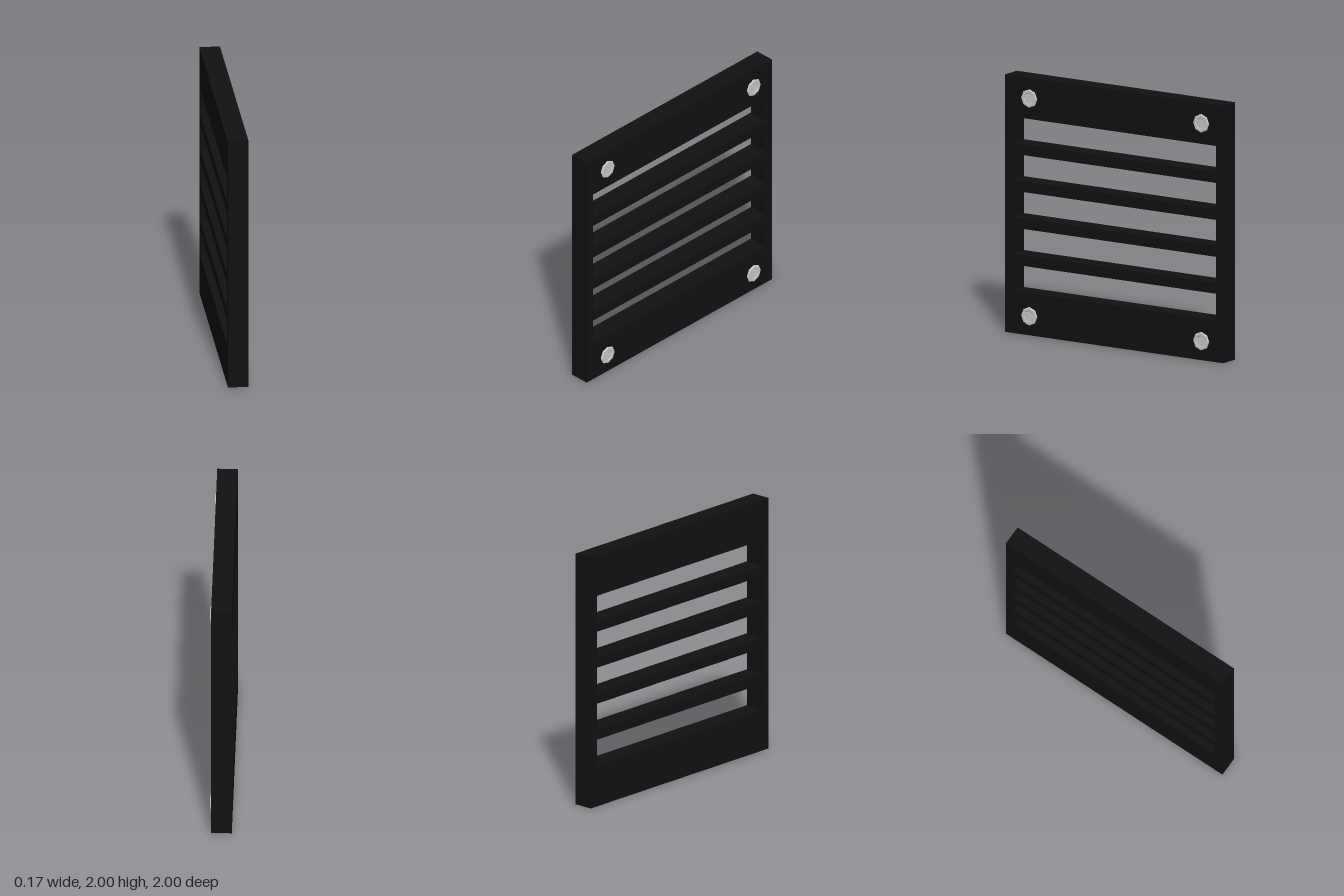
import * as THREE from 'three';

const rect = (path, w, y0, y1) => {
  path.moveTo(-w, y0);
  path.lineTo(w, y0);
  path.lineTo(w, y1);
  path.lineTo(-w, y1);
  path.closePath();
  return path;
};

export function createModel() {
  const group = new THREE.Group();
  const black = new THREE.MeshStandardMaterial({ color: 0x111111, flatShading: true });
  const grey = new THREE.MeshStandardMaterial({ color: 0xcccccc, flatShading: true });

  // Square plate with five horizontal slots, leaving four slats between them
  const back = -0.085, front = 0.072;
  const outline = rect(new THREE.Shape(), 1, 0, 2);
  for (let i = 0; i < 5; i++) {
    const y = 0.328 + i * 0.287;
    outline.holes.push(rect(new THREE.Path(), 0.932, y, y + 0.204));
  }
  const plateGeometry = new THREE.ExtrudeGeometry(outline, { depth: front - back, bevelEnabled: false });
  plateGeometry.rotateY(Math.PI / 2).translate(back, 0, 0);
  const plate = new THREE.Mesh(plateGeometry, black);
  plate.name = 'slottedPlate';
  group.add(plate);

  // Eight-sided screw heads with a shallow ring step, facing +x
  const profile = [[0.072, -0.01], [0.072, 0.007], [0.066, 0.011], [0.046, 0.011], [0.042, 0.008], [0, 0.008]];
  const screwGeometry = new THREE.LatheGeometry(profile.map(([r, h]) => new THREE.Vector2(r, h)), 8);
  screwGeometry.rotateZ(-Math.PI / 2);
  for (const y of [0.148, 1.84]) {
    for (const z of [0.777, -0.8]) {
      const screw = new THREE.Mesh(screwGeometry, grey);
      screw.name = 'screwHead';
      screw.position.set(front, y, z);
      group.add(screw);
    }
  }
  return group;
}
